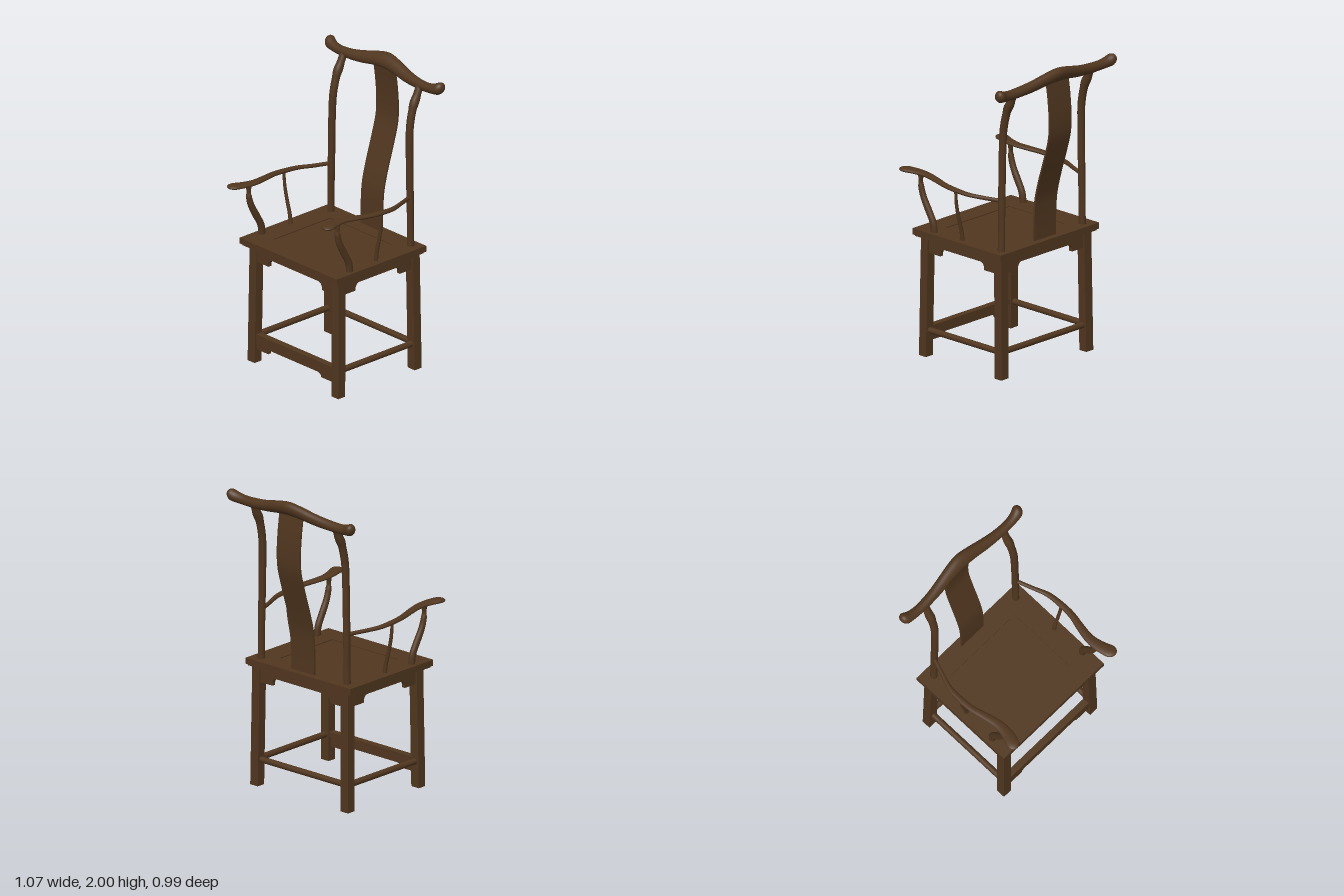
import * as THREE from 'three';

const wood = new THREE.MeshStandardMaterial({ color: 0x50361f });
wood.name = 'darkWood';

const X = new THREE.Vector3(1, 0, 0);
const Y = new THREE.Vector3(0, 1, 0);
const Z = new THREE.Vector3(0, 0, 1);

// Sweeps an ellipse along points [x, y, z, radiusU, radiusV]; U x V follows the path.
function sweep(points, U, V, { steps = 40, sides = 20, roundStart = 0, roundEnd = 0 } = {}) {
  const path = new THREE.CatmullRomCurve3(points.map(p => new THREE.Vector3(p[0], p[1], p[2])));
  const radii = new THREE.CatmullRomCurve3(points.map(p => new THREE.Vector3(p[3], p[4], 0)));
  const start = path.getPoint(0), end = path.getPoint(1);
  const dome = (d, r) => (d < r ? Math.sqrt(Math.max(0, 1 - (1 - d / r) ** 2)) : 1);
  const pos = [], idx = [];
  for (let i = 0; i <= steps; i++) {
    const t = (1 - Math.cos((Math.PI * i) / steps)) / 2;
    const c = path.getPoint(t), r = radii.getPoint(t);
    const k = dome(c.distanceTo(start), roundStart) * dome(c.distanceTo(end), roundEnd);
    for (let j = 0; j < sides; j++) {
      const a = (j / sides) * Math.PI * 2;
      const v = c.clone()
        .addScaledVector(U, r.x * k * Math.cos(a))
        .addScaledVector(V, r.y * k * Math.sin(a));
      pos.push(v.x, v.y, v.z);
      if (i < steps) {
        const p = i * sides + j, q = i * sides + ((j + 1) % sides);
        idx.push(p, q, p + sides, q, q + sides, p + sides);
      }
    }
  }
  const g = new THREE.BufferGeometry();
  g.setAttribute('position', new THREE.Float32BufferAttribute(pos, 3));
  g.setIndex(idx);
  g.computeVertexNormals();
  return g;
}

// Board with dropped, curved brackets at both ends, centred on x and z.
function apronGeometry(half, top, mid, low, bracket, depth) {
  const s = new THREE.Shape();
  const e = half - bracket, step = (mid - low) * 0.4;
  s.moveTo(-half, top);
  s.lineTo(-half, low);
  s.lineTo(-e, low);
  s.lineTo(-e, low + step);
  s.quadraticCurveTo(-e + 0.008, mid, -e + 0.035, mid);
  s.lineTo(e - 0.035, mid);
  s.quadraticCurveTo(e - 0.008, mid, e, low + step);
  s.lineTo(e, low);
  s.lineTo(half, low);
  s.lineTo(half, top);
  const g = new THREE.ExtrudeGeometry(s, { depth, bevelEnabled: false, curveSegments: 8 });
  return g.translate(0, 0, -depth / 2);
}

function rectangle(hw, hd, Kind) {
  return new Kind([[-hw, -hd], [hw, -hd], [hw, hd], [-hw, hd]].map(p => new THREE.Vector2(...p)));
}

export function createModel() {
  const chair = new THREE.Group();
  chair.name = 'armchair';
  const add = (name, geometry, x = 0, y = 0, z = 0) => {
    const m = new THREE.Mesh(geometry, wood);
    m.name = name;
    m.position.set(x, y, z);
    chair.add(m);
    return m;
  };

  // Seat: frame with an opening, a sunken panel and a stepped lower edge
  const frame = rectangle(0.447, 0.385, THREE.Shape);
  frame.holes.push(rectangle(0.285, 0.244, THREE.Path));
  const frameGeo = new THREE.ExtrudeGeometry(frame, { depth: 0.04, bevelEnabled: false });
  add('seatFrame', frameGeo.rotateX(-Math.PI / 2), -0.006, 0.8, 0.002);
  add('seatPanel', new THREE.BoxGeometry(0.57, 0.03, 0.488), -0.006, 0.819, 0.002);
  add('seatLowerEdge', new THREE.BoxGeometry(0.87, 0.012, 0.746), -0.006, 0.795, 0.002);

  // Legs: square, splayed slightly outwards towards the floor
  for (const s of [-1, 1]) {
    for (const f of [-1, 1]) {
      const g = new THREE.BoxGeometry(0.064, 0.79, 0.06);
      const p = g.attributes.position;
      for (let i = 0; i < p.count; i++) {
        const drop = 0.5 - p.getY(i) / 0.79;
        p.setX(i, p.getX(i) + s * 0.008 * drop);
        p.setZ(i, p.getZ(i) + f * 0.01 * drop);
      }
      g.computeVertexNormals();
      add(f > 0 ? 'frontLeg' : 'backLeg', g, s * 0.377, 0.395, f > 0 ? 0.312 : -0.326);
    }
  }

  // Aprons under the seat
  add('frontApron', apronGeometry(0.35, 0.795, 0.74, 0.69, 0.105, 0.025), 0, 0, 0.32);
  add('backApron', apronGeometry(0.35, 0.795, 0.74, 0.69, 0.105, 0.025), 0, 0, -0.334);
  for (const s of [-1, 1]) {
    const side = apronGeometry(0.29, 0.795, 0.74, 0.69, 0.1, 0.025);
    add('sideApron', side.rotateY(Math.PI / 2), s * 0.385, 0, -0.006);
  }

  // Stretchers: flat footrest with brackets in front, round bars elsewhere
  add('footrest', new THREE.BoxGeometry(0.71, 0.034, 0.045), 0, 0.178, 0.318);
  add('footrestApron', apronGeometry(0.352, 0.165, 0.12, 0.092, 0.11, 0.024), 0, 0, 0.326);
  const bar = len => new THREE.CylinderGeometry(0.02, 0.02, len, 20);
  add('backStretcher', bar(0.72).rotateZ(Math.PI / 2), 0, 0.172, -0.333);
  for (const s of [-1, 1]) {
    add('sideStretcher', bar(0.62).rotateX(Math.PI / 2), s * 0.383, 0.172, -0.006);
  }

  for (const s of [-1, 1]) {
    // Back posts, curving backwards at the top
    add('backPost', sweep([
      [s * 0.367, 0.8, -0.318, 0.024, 0.023],
      [s * 0.363, 1.1, -0.318, 0.024, 0.023],
      [s * 0.356, 1.5, -0.318, 0.024, 0.024],
      [s * 0.353, 1.65, -0.325, 0.025, 0.025],
      [s * 0.351, 1.765, -0.351, 0.026, 0.026],
      [s * 0.35, 1.85, -0.388, 0.026, 0.026],
      [s * 0.349, 1.92, -0.422, 0.025, 0.026],
    ], Z, X));

    // Armrests: winding outwards, widening to a rounded handhold
    const o = -0.004;
    add('armrest', sweep([
      [s * 0.362, 1.168, -0.32, 0.013, 0.013],
      [s * 0.405, 1.171, -0.2, 0.014, 0.013],
      [s * 0.44, 1.177, -0.1, 0.018, 0.013],
      [s * 0.448, 1.184, 0, 0.021, 0.014],
      [s * 0.444, 1.192, 0.1, 0.023, 0.014],
      [s * 0.422, 1.2, 0.2, 0.027, 0.014],
      [s * 0.405, 1.207, 0.3, 0.031, 0.014],
      [s * 0.413, 1.212, 0.38, 0.039, 0.015],
      [s * 0.43, 1.215, 0.44, 0.044, 0.016],
      [s * 0.438, 1.216, 0.494, 0.042, 0.015],
    ], X, Y, { roundEnd: 0.045 }), o);

    // Curved front supports of the armrests
    add('frontArmSupport', sweep([
      [s * 0.403, 0.82, 0.236, 0.022, 0.02],
      [s * 0.403, 0.9, 0.246, 0.025, 0.021],
      [s * 0.404, 0.98, 0.287, 0.027, 0.021],
      [s * 0.406, 1.06, 0.328, 0.023, 0.02],
      [s * 0.407, 1.13, 0.347, 0.019, 0.019],
      [s * 0.407, 1.205, 0.348, 0.019, 0.019],
    ], Z, X), o);

    // Slender spindles in the middle
    add('armSpindle', sweep([
      [s * 0.39, 0.82, 0, 0.013, 0.015],
      [s * 0.4, 0.9, 0.001, 0.012, 0.014],
      [s * 0.425, 1.0, 0.003, 0.011, 0.013],
      [s * 0.441, 1.09, 0.006, 0.01, 0.012],
      [s * 0.446, 1.185, 0.009, 0.008, 0.01],
    ], Z, X, { sides: 12 }), o);
  }

  // Back splat: a thin S-curved board
  const splatLine = new THREE.CatmullRomCurve3([
    [0.82, -0.335], [0.95, -0.335], [1.11, -0.345], [1.235, -0.374], [1.42, -0.43],
    [1.55, -0.464], [1.66, -0.47], [1.8, -0.46], [1.93, -0.442],
  ].map(([y, z]) => new THREE.Vector3(0, y, z)));
  const splat = new THREE.BoxGeometry(0.196, 1, 0.012, 1, 40, 1);
  const sp = splat.attributes.position;
  for (let i = 0; i < sp.count; i++) {
    const t = THREE.MathUtils.clamp(sp.getY(i) + 0.5, 0, 1);
    const c = splatLine.getPoint(t), d = splatLine.getTangent(t), h = sp.getZ(i);
    sp.setY(i, c.y - d.z * h);
    sp.setZ(i, c.z + d.y * h);
  }
  splat.computeVertexNormals();
  add('backSplat', splat, -0.008);

  // Crest rail: raised in the middle, with rounded upturned ends
  const half = [
    [0, 1.952, -0.453, 0.052, 0.038],
    [0.1, 1.94, -0.446, 0.047, 0.036],
    [0.2, 1.92, -0.434, 0.041, 0.034],
    [0.3, 1.908, -0.425, 0.034, 0.033],
    [0.4, 1.905, -0.423, 0.031, 0.032],
    [0.46, 1.912, -0.428, 0.034, 0.034],
    [0.5, 1.923, -0.437, 0.042, 0.038],
    [0.535, 1.93, -0.442, 0.043, 0.039],
  ];
  const rail = [...half.slice(1).reverse().map(([x, ...r]) => [-x, ...r]), ...half];
  add('crestRail', sweep(rail, new THREE.Vector3(0, 0.8, -0.6), new THREE.Vector3(0, 0.6, 0.8),
    { steps: 72, sides: 24, roundStart: 0.04, roundEnd: 0.04 }));

  return chair;
}
